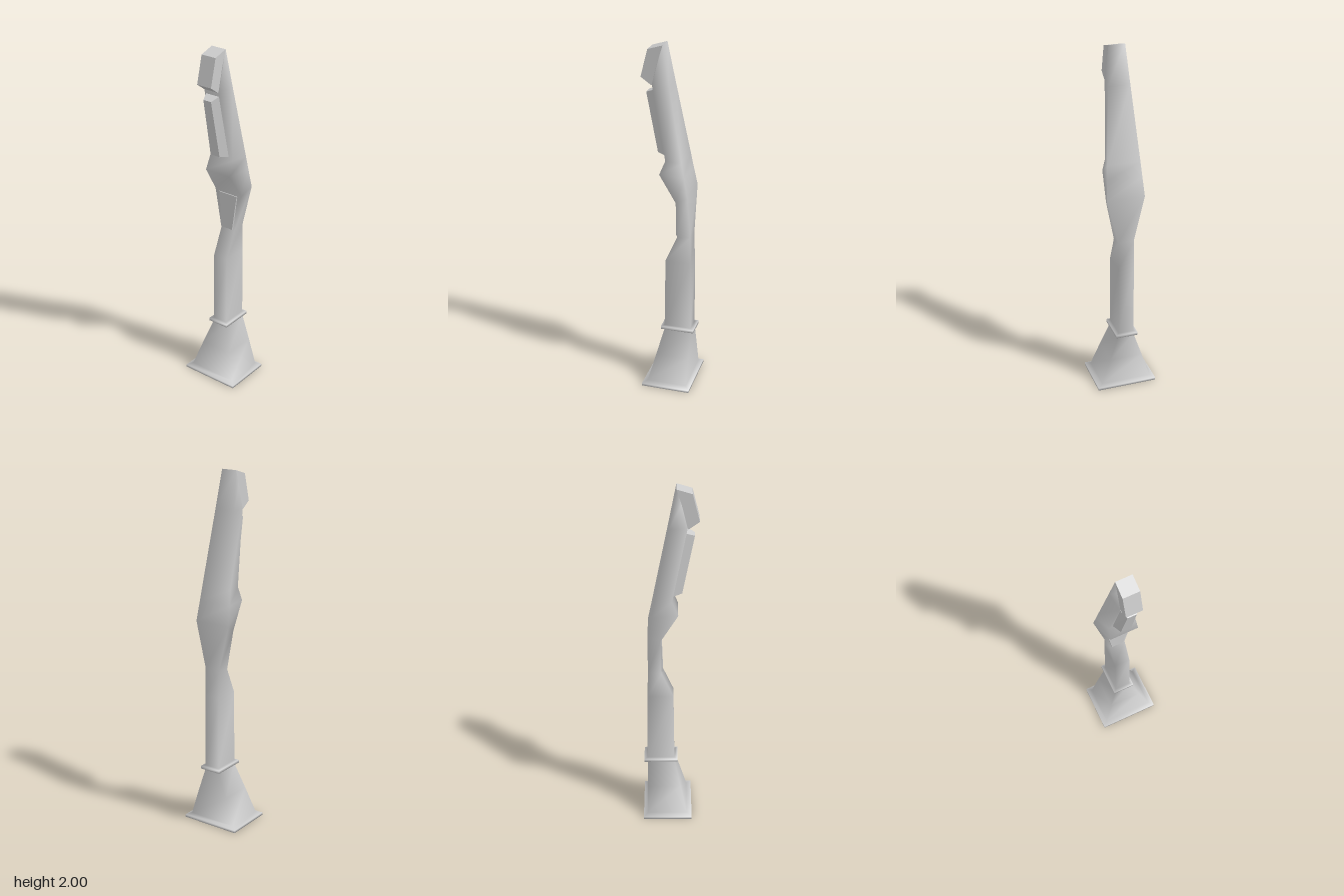
import * as THREE from 'three';

const grey = new THREE.MeshStandardMaterial({ color: 0xcccccc });
grey.name = 'lightGrey';

// Four-cornered loft. Each section: [xLeft, yLeft, halfWidthLeft, xRight, yRight, halfWidthRight]
function loft(name, sections, smooth) {
  const pos = [], idx = [];
  for (const [xl, yl, wl, xr, yr, wr] of sections) {
    pos.push(xl, yl, wl, xr, yr, wr, xr, yr, -wr, xl, yl, -wl);
  }
  for (let i = 0; i < sections.length - 1; i++) {
    for (let k = 0; k < 4; k++) {
      const a = i * 4 + k, b = i * 4 + (k + 1) % 4;
      idx.push(a, b, b + 4, a, b + 4, a + 4);
    }
  }
  const t = (sections.length - 1) * 4;
  idx.push(0, 2, 1, 0, 3, 2, t, t + 1, t + 2, t, t + 2, t + 3);
  let geo = new THREE.BufferGeometry();
  geo.setAttribute('position', new THREE.Float32BufferAttribute(pos, 3));
  geo.setIndex(idx);
  if (!smooth) geo = geo.toNonIndexed();
  geo.computeVertexNormals();
  const mesh = new THREE.Mesh(geo, grey);
  mesh.name = name;
  return mesh;
}

// Level section
const level = (y, xl, xr, w) => [xl, y, w, xr, y, w];

export function createModel() {
  const group = new THREE.Group();
  group.name = 'leaningPost';

  // Flange, flared foot, collar and lower shaft run into the leaning upper arm
  group.add(loft('post', [
    level(0, -0.128, 0.152, 0.174),
    level(0.015, -0.128, 0.152, 0.174),
    level(0.026, -0.1, 0.128, 0.145),
    level(0.18, -0.063, 0.128, 0.096),
    level(0.33, -0.027, 0.128, 0.045),
    level(0.333, -0.045, 0.147, 0.063),
    level(0.35, -0.045, 0.147, 0.063),
    level(0.353, -0.027, 0.128, 0.045),
    level(0.77, -0.021, 0.125, 0.045),
    [0.045, 0.92, 0.045, 0.121, 0.93, 0.045],
    [0.05, 1.15, 0.09, 0.12, 1.19, 0.107],
    [-0.045, 1.3, 0.08, 0.098, 1.3, 0.099],
    [-0.012, 1.38, 0.075, 0.083, 1.38, 0.093],
    [-0.092, 1.79, 0.048, 0.005, 1.79, 0.061],
    [-0.06, 1.92, 0.046, -0.034, 2, 0.045],
  ], true));

  // Hooked head block
  const outline = [[-0.034, 2], [-0.116, 1.975], [-0.154, 1.825], [-0.098, 1.785], [-0.06, 1.79], [-0.03, 1.93]];
  const shape = new THREE.Shape(outline.map(([x, y]) => new THREE.Vector2(x, y)));
  const headGeo = new THREE.ExtrudeGeometry(shape, { depth: 0.09, bevelEnabled: false });
  headGeo.translate(0, 0, -0.045);
  const head = new THREE.Mesh(headGeo, grey);
  head.name = 'head';
  group.add(head);

  // Raised pad on the inner side of the arm
  group.add(loft('armPad', [
    [-0.066, 1.41, 0.03, -0.01, 1.4, 0.055],
    [-0.13, 1.74, 0.025, -0.08, 1.762, 0.045],
  ], false));

  // Small pad in the waist
  group.add(loft('waistPad', [
    [0.038, 0.93, 0.035, 0.07, 0.93, 0.042],
    [0.045, 1.14, 0.06, 0.07, 1.14, 0.07],
  ], false));

  return group;
}
